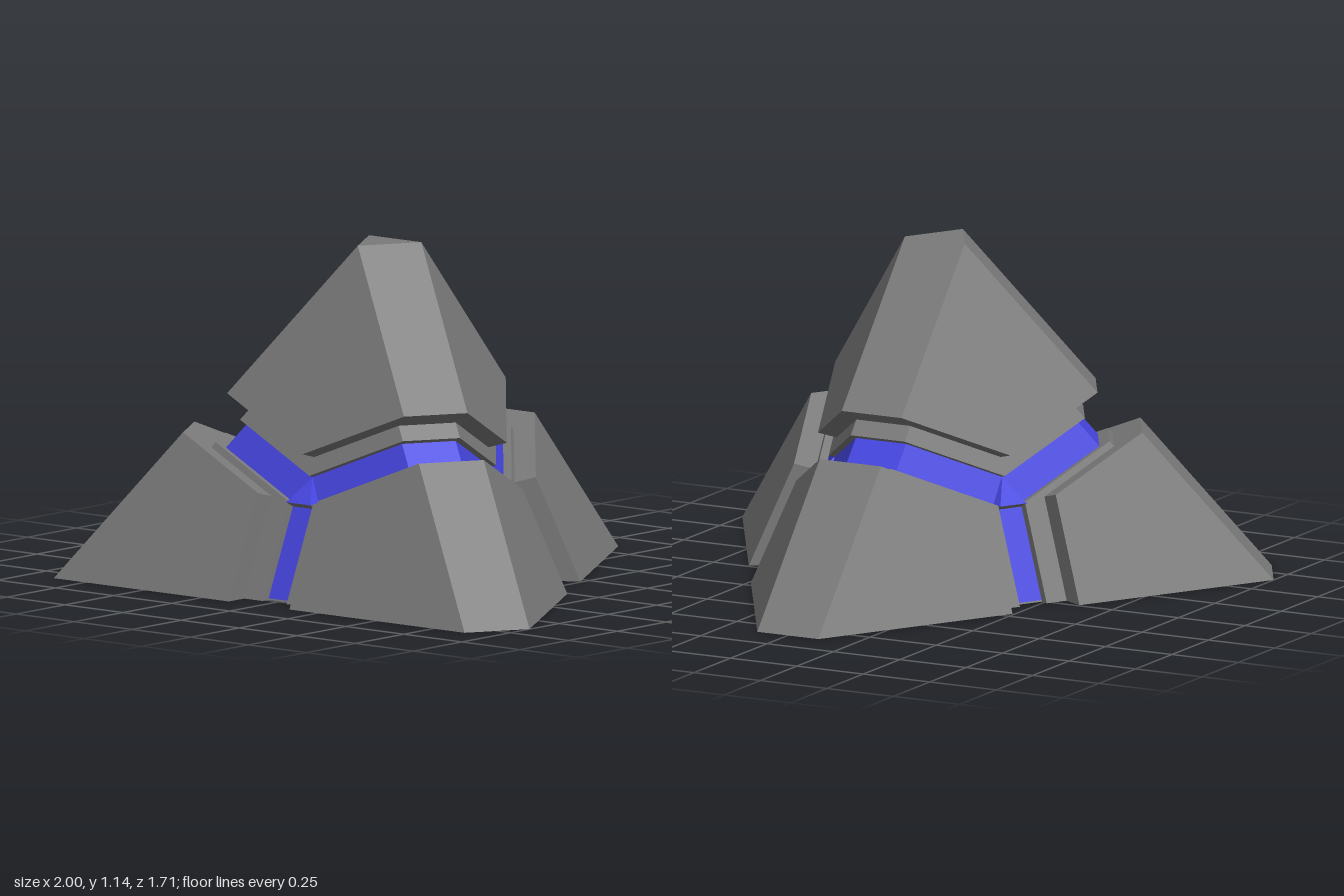
import * as THREE from 'three';

const TOP = 1.14, TILT = 0.53, DEPTH = 0.985;
const grey = new THREE.MeshStandardMaterial({ color: 0x7a7a7a, flatShading: true });
const blue = new THREE.MeshStandardMaterial({ color: 0x4545e0, flatShading: true });

// Half-space: points p with n.p <= d
const half = (x, y, z, d) => {
  const n = new THREE.Vector3(x, y, z), l = n.length();
  return { n: n.divideScalar(l), d: d / l };
};
// Half-space whose normal has horizontal heading deg (0 = +x, 90 = +z)
const radial = (deg, out, y, d) => {
  const t = THREE.MathUtils.degToRad(deg);
  return half(Math.cos(t) * out, y, Math.sin(t) * out / DEPTH, d);
};
const CORNERS = [30, 150, 270];

// Convex solid bounded by half-spaces, one flat polygon per plane
function solid(planes) {
  const points = [];
  const cross = new THREE.Vector3();
  for (let i = 0; i < planes.length; i++)
    for (let j = i + 1; j < planes.length; j++)
      for (let k = j + 1; k < planes.length; k++) {
        const [a, b, c] = [planes[i], planes[j], planes[k]];
        const det = a.n.dot(cross.crossVectors(b.n, c.n));
        if (Math.abs(det) < 1e-6) continue;
        const p = new THREE.Vector3()
          .addScaledVector(new THREE.Vector3().crossVectors(b.n, c.n), a.d / det)
          .addScaledVector(new THREE.Vector3().crossVectors(c.n, a.n), b.d / det)
          .addScaledVector(new THREE.Vector3().crossVectors(a.n, b.n), c.d / det);
        if (planes.every(q => q.n.dot(p) < q.d + 1e-5) && !points.some(q => q.distanceTo(p) < 1e-3)) points.push(p);
      }
  const pos = [];
  for (const { n, d } of planes) {
    const ring = points.filter(p => Math.abs(n.dot(p) - d) < 1e-3);
    if (ring.length < 3) continue;
    const mid = ring.reduce((s, p) => s.add(p), new THREE.Vector3()).divideScalar(ring.length);
    const u = ring[0].clone().sub(mid).normalize();
    const v = new THREE.Vector3().crossVectors(n, u);
    const angle = p => { const q = p.clone().sub(mid); return Math.atan2(q.dot(v), q.dot(u)); };
    ring.sort((p, q) => angle(p) - angle(q));
    for (let i = 1; i < ring.length - 1; i++)
      for (const p of [ring[0], ring[i], ring[i + 1]]) pos.push(p.x, p.y, p.z);
  }
  const g = new THREE.BufferGeometry();
  g.setAttribute('position', new THREE.Float32BufferAttribute(pos, 3));
  g.computeVertexNormals();
  return g;
}

// Pyramid with bevelled edges, inset by the given amounts on faces and bevels
const pyramid = ([face, bevel], y0, y1) => [
  half(0, -1, 0, -y0), half(0, 1, 0, y1),
  ...CORNERS.flatMap(c => [
    radial(c + 180, 1, 0.435, 0.6436 - face),
    radial(c, 1, 0.87, 1.088 - bevel),
  ]),
];

export function createModel() {
  const model = new THREE.Group();
  model.name = 'splitPyramid';
  const body = new THREE.Group();
  body.name = 'body';
  body.position.z = 0.215;
  model.add(body);
  const add = (name, planes, mat = grey) => {
    const m = new THREE.Mesh(solid(planes), mat);
    m.name = name;
    body.add(m);
  };

  // Outer armour and the stepped layer under it, each split into a cap and three corners
  const layers = [
    { name: 'armour', capInset: [0.0177, 0.0312], cornerInset: [0, 0], top: TOP, cap: 0.367, corner: 0.154, gap: 0.13 },
    { name: 'step', capInset: [0.087, 0.15], cornerInset: [0.08, 0.135], top: 0.75, cap: 0.30, corner: 0.179, gap: 0.052 },
  ];
  for (const l of layers) {
    add(l.name + 'Cap', [...pyramid(l.capInset, 0, l.top), ...CORNERS.map(c => radial(c, TILT, -1, -l.cap))]);
    CORNERS.forEach((c, i) => add(l.name + 'Corner' + (i + 1), [
      ...pyramid(l.cornerInset, 0, l.top),
      radial(c, -TILT, 1, l.corner),
      radial(c + 150, 1, 0, -l.gap),
      radial(c - 150, 1, 0, -l.gap),
    ]));
  }

  // Glowing core showing in the grooves, closed below by a plate
  const coreInset = [0.11, 0.185];
  add('core', pyramid(coreInset, 0.005, 0.6), blue);
  add('basePlate', pyramid(coreInset, 0, 0.005));

  // Head of each upright groove: a raised triangular facet over a dark undercut sill
  CORNERS.forEach((c, i) => {
    const back = radial(c, 1, 0, -0.3);
    add('grooveFacet' + (i + 1), [
      half(0, -1, 0, -0.315), back,
      radial(c + 180, 0.075, 0.07, 0.05505),
      radial(c + 90, 1.5, 1, 0.393), radial(c - 90, 1.5, 1, 0.393),
    ], blue);
    add('grooveSill' + (i + 1), [
      half(0, -1, 0, -0.295), half(0, 1, 0, 0.315), back,
      radial(c + 180, 1, -2, -0.19),
      radial(c + 90, 1, 0, 0.052), radial(c - 90, 1, 0, 0.052),
    ]);
  });
  return model;
}
